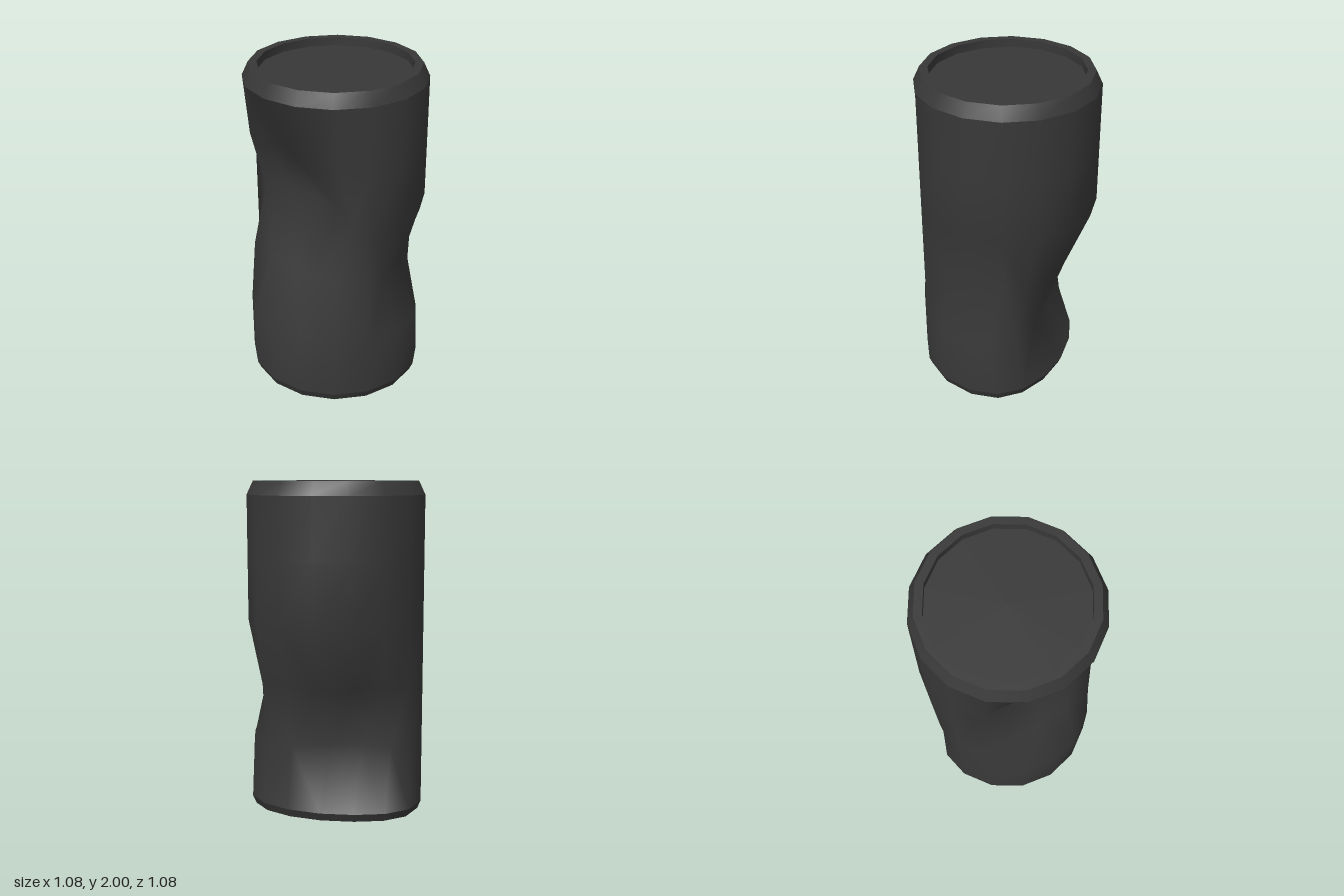
import * as THREE from 'three';

const SIDES = 16;
const R = 0.538;
const STEP = (Math.PI * 2) / SIDES;
const NONE = 99; // row untouched by dents

// Each dent pushes the wall straight in towards column `col`, deepest on `row`.
// push[rowOffset] lists the depths for neighbouring columns, starting at `first`.
const DENTS = [
  { col: 7, row: 3, first: 5, push: [[0.146, 0.335, 0.42, 0.335, 0.146], [0.04, 0.14, 0.18, 0.14, 0.04]] },
  {
    col: 14, row: 1, first: 11,
    push: [[0.08, 0.22, 0.38, 0.35, 0.21, 0.134, 0.08], [0.03, 0.09, 0.14, 0.15, 0.13, 0.085, 0.03]],
  },
  { col: 2, row: 2, first: 1, push: [[0.1, 0.12, 0.09]] },
];

// A point of the wall: ring radius and height, moved by the dents of its row
function wallPoint(radius, y, col, row) {
  const p = new THREE.Vector3(radius * Math.cos(col * STEP), y, radius * Math.sin(col * STEP));
  for (const dent of DENTS) {
    const depth = dent.push[Math.abs(row - dent.row)]?.[(col - dent.first + SIDES) % SIDES] ?? 0;
    p.x -= depth * Math.cos(dent.col * STEP);
    p.z -= depth * Math.sin(dent.col * STEP);
  }
  return p;
}

// Skin a list of rings [radius, height, dentRow]; each quad is split along its shorter diagonal
function skin(rings) {
  const points = [];
  const index = [];
  for (const [radius, y, row] of rings) {
    for (let k = 0; k < SIDES; k++) points.push(wallPoint(radius, y, k, row));
  }
  for (let i = 0; i < rings.length - 1; i++) {
    for (let k = 0; k < SIDES; k++) {
      const a = i * SIDES + k, b = i * SIDES + ((k + 1) % SIDES);
      const c = a + SIDES, d = b + SIDES;
      if (points[a].distanceTo(points[d]) < points[b].distanceTo(points[c])) index.push(a, c, d, a, d, b);
      else index.push(a, c, b, b, c, d);
    }
  }
  const g = new THREE.BufferGeometry().setFromPoints(points);
  g.setIndex(index);
  g.computeVertexNormals();
  return g;
}

export function createModel() {
  const group = new THREE.Group();
  group.name = 'dentedCan';
  const material = new THREE.MeshStandardMaterial({ color: 0x383838, side: THREE.DoubleSide });
  const add = (name, rings) => {
    const mesh = new THREE.Mesh(skin(rings), material);
    mesh.name = name;
    group.add(mesh);
  };

  // Dented wall: six evenly spaced rings
  const wall = [];
  for (let row = 0; row <= 5; row++) wall.push([R, 0.05 + row * 0.374, row]);
  add('body', wall);

  // Top: bevel, flat rim, short inner wall and recessed lid
  add('topBevel', [[R, 1.92, NONE], [0.5, 2, NONE]]);
  add('topRim', [[0.5, 2, NONE], [0.452, 2, NONE]]);
  add('topInnerWall', [[0.452, 2, NONE], [0.452, 1.95, NONE]]);
  add('lid', [[0.452, 1.95, NONE], [0, 1.95, NONE]]);

  // Bottom: the same build, following the dent in the lowest ring
  add('bottomBevel', [[0.517, 0, 0], [R, 0.05, 0]]);
  add('bottomRim', [[0.47, 0, 0], [0.517, 0, 0]]);
  add('bottomInnerWall', [[0.47, 0.04, 0], [0.47, 0, 0]]);
  add('base', [[0, 0.04, NONE], [0.47, 0.04, 0]]);

  return group;
}
